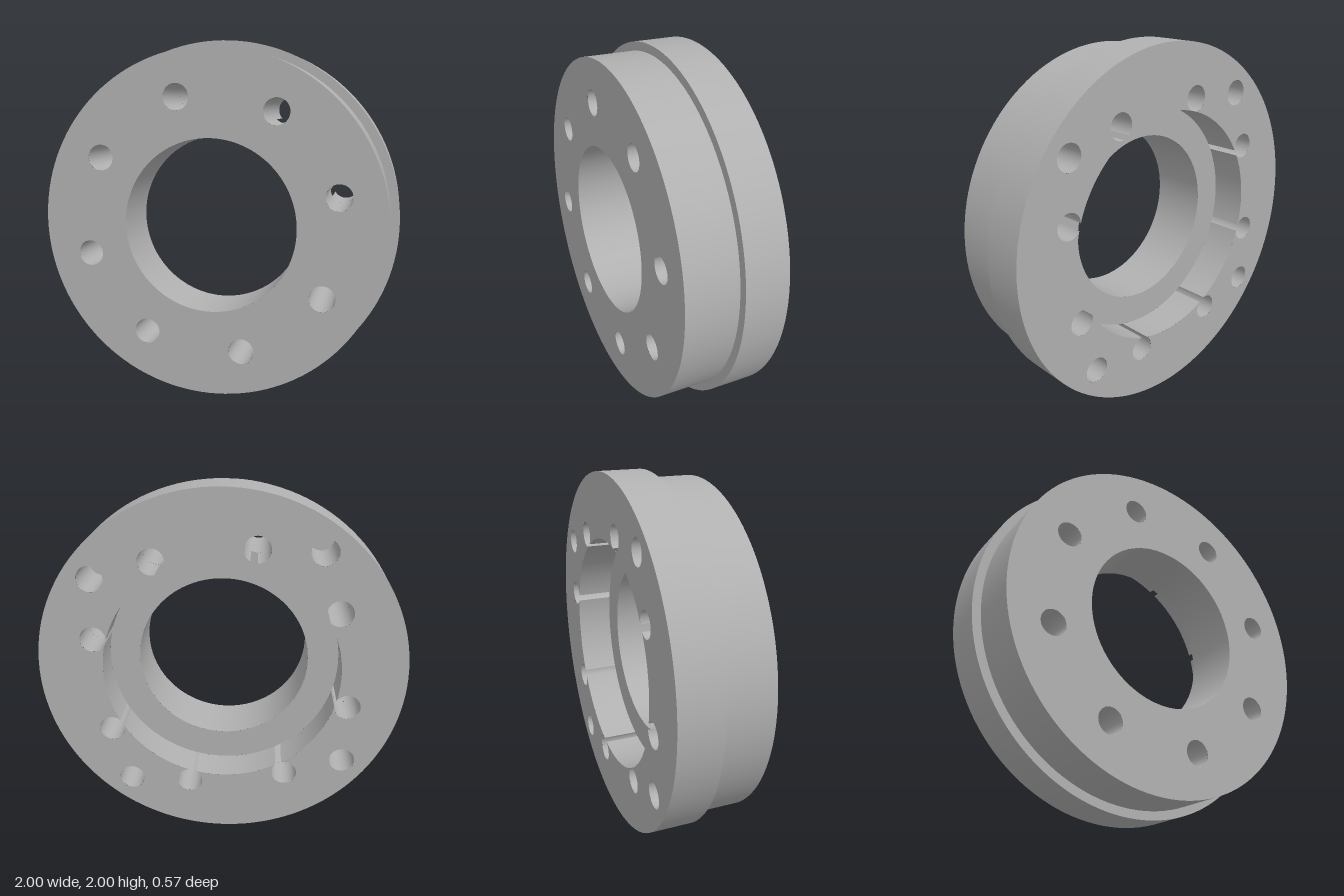
import * as THREE from 'three';

const TAU = Math.PI * 2;

// Radii
const FLANGE = 0.9975, BODY = 0.95, BORE = 0.475, RECESS = 0.645;
const HOLE = 0.071, THROUGH_PITCH = 0.713, BLIND_PITCH = 0.857;
// Positions along the axis
const BACK = -0.26, FLOOR = -0.06, STEP = -0.022, FRONT = 0.264, BLIND_END = 0.04;

// Where each through hole breaks into the recess wall: half angles of the slot
const gapRecess = Math.acos(
  (THROUGH_PITCH ** 2 + RECESS ** 2 - HOLE ** 2) / (2 * THROUGH_PITCH * RECESS));
const gapHole = Math.asin(RECESS * Math.sin(gapRecess) / HOLE);

const throughAngles = Array.from({ length: 8 }, (_, i) => (15 + 45 * i) * Math.PI / 180);
const blindAngles = Array.from({ length: 4 }, (_, i) => (37.5 + 90 * i) * Math.PI / 180);
const polar = (r, a) => [r * Math.cos(a), r * Math.sin(a)];

function circle(r, x = 0, y = 0, Type = THREE.Path) {
  const path = new Type();
  path.absarc(x, y, r, 0, TAU, false);
  return path;
}

// Cylindrical wall along z; z0 < z1 faces outward, z0 > z1 faces inward
function wall(r, z0, z1, segments, start = 0, length = TAU) {
  const profile = [new THREE.Vector2(r, z0), new THREE.Vector2(r, z1)];
  return new THREE.LatheGeometry(profile, segments, start + Math.PI / 2, length)
    .rotateX(Math.PI / 2);
}

// Flat face at height z, facing +z or -z
function face(outerRadius, holes, z, facing, x = 0, y = 0) {
  const shape = circle(outerRadius, x, y, THREE.Shape);
  shape.holes.push(...holes);
  const geometry = new THREE.ShapeGeometry(shape, 64).translate(0, 0, z);
  if (facing < 0) {
    geometry.index.array.reverse();
    const n = geometry.attributes.normal;
    for (let i = 0; i < n.count; i++) n.setZ(i, -1);
  }
  return geometry;
}

// Recess outline with the through holes opening into it
function recessOutline() {
  const path = new THREE.Path();
  for (const a of throughAngles) {
    path.absarc(0, 0, RECESS, a - Math.PI / 4 + gapRecess, a - gapRecess, false);
    path.absarc(...polar(THROUGH_PITCH, a), HOLE,
      a + Math.PI + gapHole, a + 3 * Math.PI - gapHole, false);
  }
  return path;
}

export function createModel() {
  const metal = new THREE.MeshStandardMaterial({ color: 0xb0b0b0 });
  metal.name = 'grey metal';

  const ring = new THREE.Group();
  ring.name = 'flangedRing';
  const add = (name, geometry, x = 0, y = 0) => {
    const mesh = new THREE.Mesh(geometry, metal);
    mesh.name = name;
    mesh.position.set(x, y, 0);
    ring.add(mesh);
  };

  // Outer walls and bore
  add('flangeRim', wall(FLANGE, BACK, STEP, 128));
  add('bodyRim', wall(BODY, STEP, FRONT, 128));
  add('boreWall', wall(BORE, FRONT, FLOOR, 96));

  // Flat faces
  const throughCircles = throughAngles.map(a => circle(HOLE, ...polar(THROUGH_PITCH, a)));
  const blindCircles = blindAngles.map(a => circle(HOLE, ...polar(BLIND_PITCH, a)));
  add('frontFace', face(BODY, [circle(BORE), ...throughCircles], FRONT, 1));
  add('flangeStep', face(FLANGE, [circle(BODY)], STEP, 1));
  add('backFace', face(FLANGE, [recessOutline(), ...blindCircles], BACK, -1));
  add('recessFloor', face(RECESS, [circle(BORE)], FLOOR, -1));

  // Through holes, slotted along the recess, and the recess wall between them
  for (const a of throughAngles) {
    const [x, y] = polar(THROUGH_PITCH, a);
    add('throughHole', wall(HOLE, FRONT, FLOOR, 32), x, y);
    add('slottedHole', wall(HOLE, FLOOR, BACK, 32,
      a + Math.PI + gapHole, TAU - 2 * gapHole), x, y);
    add('recessWall', wall(RECESS, FLOOR, BACK, 16,
      a + gapRecess, Math.PI / 4 - 2 * gapRecess));
  }

  // Blind holes in the back of the flange
  for (const a of blindAngles) {
    const [x, y] = polar(BLIND_PITCH, a);
    add('blindHole', wall(HOLE, BLIND_END, BACK, 32), x, y);
    add('blindHoleEnd', face(HOLE, [], BLIND_END, -1), x, y);
  }

  // The ring leans slightly
  ring.rotation.set(-0.022, 0.012, 0);
  ring.position.set(0.002, 1.003, 0);

  const model = new THREE.Group();
  model.name = 'model';
  model.add(ring);
  return model;
}
